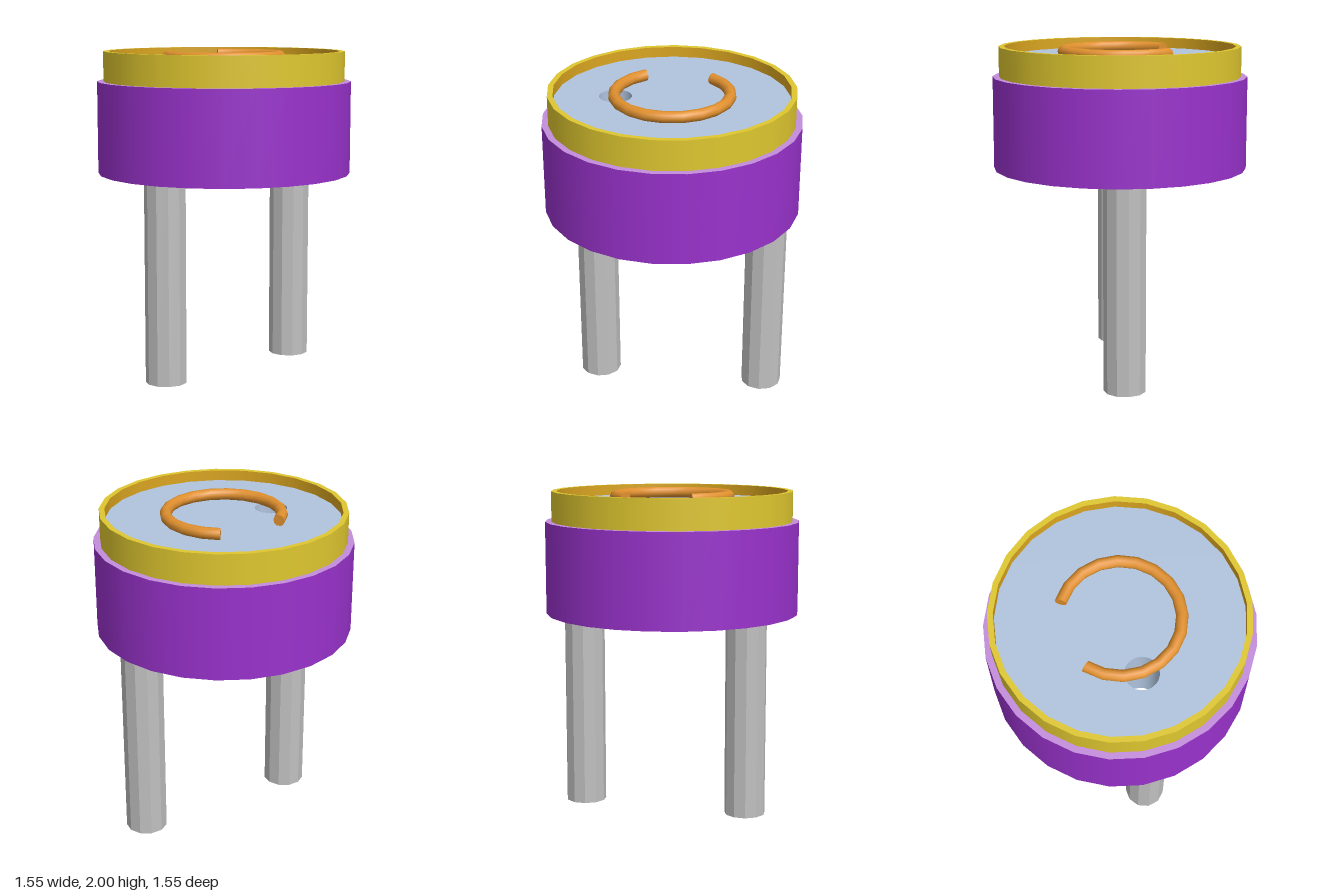
import * as THREE from 'three';

const mat = (name, color) =>
  new THREE.MeshStandardMaterial({ name, color, side: THREE.DoubleSide });

export function createModel() {
  const purple = mat('purple', 0x9932cc);
  const lilac = mat('lilac', 0xc38ddc);
  const yellow = mat('yellow', 0xdfc72f);
  const goldenrod = mat('goldenrod', 0xdaa520);
  const steelBlue = mat('pale steel blue', 0xb0c4de);
  const orange = mat('orange', 0xe0902e);
  const silver = mat('silver', 0xc0c0c0);

  const SIDES = 25, SKIRT_R = 0.777, RIM_R = 0.738, INNER_R = 0.705;
  const SKIRT_LOW = 1.253, SKIRT_TOP = 1.815, PLATE_Y = 1.933, RIM_TOP = 1.998;
  const LEG_TOP = 1.42;

  const group = new THREE.Group();
  const add = (name, geometry, material) => {
    const mesh = new THREE.Mesh(geometry, material);
    mesh.name = name;
    group.add(mesh);
    return mesh;
  };

  // Open thin-walled tube standing between two heights
  const wall = (r, y0, y1, sides = SIDES) =>
    new THREE.CylinderGeometry(r, r, y1 - y0, sides, 1, true, Math.PI / 2)
      .translate(0, (y0 + y1) / 2, 0);
  // Flat ring facing up
  const ledge = (r0, r1, y) =>
    new THREE.RingGeometry(r0, r1, SIDES, 1).rotateX(-Math.PI / 2).translate(0, y, 0);

  // Stepped body shell
  add('skirt', wall(SKIRT_R, SKIRT_LOW, SKIRT_TOP), purple);
  add('skirtLedge', ledge(RIM_R, SKIRT_R, SKIRT_TOP), lilac);
  add('rimOuterWall', wall(RIM_R, SKIRT_TOP, RIM_TOP), yellow);
  add('rimTop', ledge(INNER_R, RIM_R, RIM_TOP), yellow);
  add('rimInnerWall', wall(INNER_R, PLATE_Y, RIM_TOP), goldenrod);

  // Recessed plate with a round hole and the sleeve hanging from it
  const HOLE_R = 0.098, HOLE_Z = 0.34;
  const circle = (r, n, cy) => Array.from({ length: n }, (_, i) => {
    const a = (i / n) * Math.PI * 2;
    return new THREE.Vector2(r * Math.cos(a), cy + r * Math.sin(a));
  });
  const plate = new THREE.Shape(circle(INNER_R, SIDES, 0));
  plate.holes.push(new THREE.Path(circle(HOLE_R, SIDES, -HOLE_Z)));
  add('plate', new THREE.ShapeGeometry(plate).rotateX(-Math.PI / 2).translate(0, PLATE_Y, 0), steelBlue);
  add('sleeve', wall(HOLE_R, LEG_TOP, PLATE_Y).translate(0, 0, HOLE_Z), steelBlue);

  // Open ring lying on the plate, with its gap toward -x
  const COIL_R = 0.345, COIL_TUBE = 0.035, COIL_Y = 1.965, HALF_ARC = Math.PI * 0.8;
  add('openRing', new THREE.TorusGeometry(COIL_R, COIL_TUBE, 10, 16, HALF_ARC * 2)
    .rotateZ(-HALF_ARC).rotateX(-Math.PI / 2).translate(0, COIL_Y, 0), orange);
  for (const s of [-1, 1]) {
    add('openRingEnd', new THREE.CircleGeometry(COIL_TUBE, 10)
      .rotateX(-s * Math.PI / 2).rotateX(s * Math.PI)
      .rotateX(-s * Math.PI / 2)
      .translate(COIL_R, 0, 0)
      .rotateY(s * HALF_ARC)
      .translate(0, COIL_Y, 0), orange);
  }

  // Two hollow faceted legs
  for (const [name, z] of [['frontLeg', 0.475], ['backLeg', -0.583]]) {
    const leg = wall(0.127, 0, LEG_TOP, 11).toNonIndexed();
    leg.computeVertexNormals();
    add(name, leg.translate(-0.003, 0, z), silver);
  }
  return group;
}
